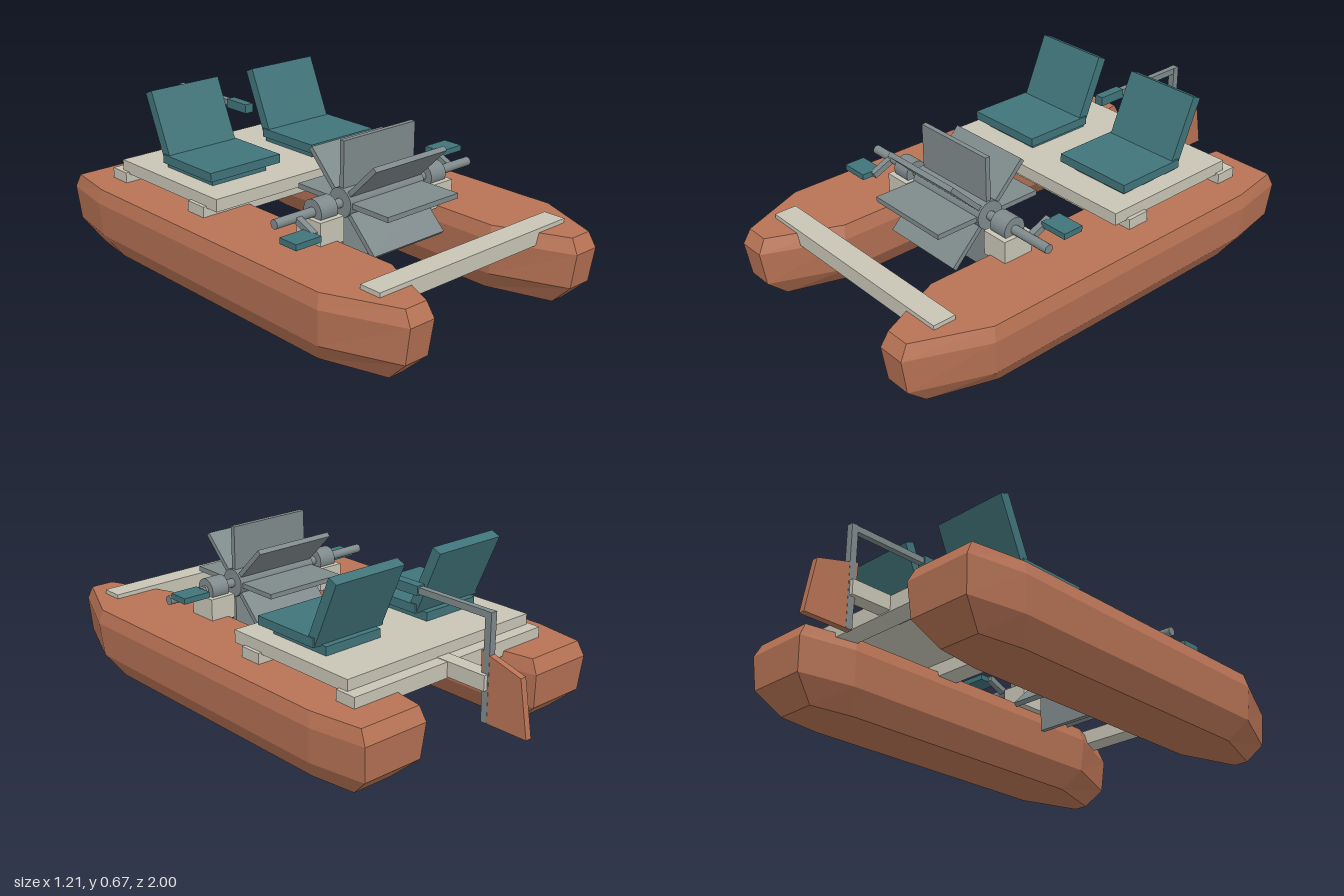
import * as THREE from 'three';

const paint = (color) => new THREE.MeshStandardMaterial({ color, flatShading: true });
const smooth = (color) => new THREE.MeshStandardMaterial({ color });

export function createModel() {
  const root = new THREE.Group();
  const clay = paint(0xb87355), cream = paint(0xc8c5b6), teal = paint(0x40747a);
  const steel = paint(0x7f8a8c), roundSteel = smooth(0x7f8a8c);

  function add(name, geometry, material, x = 0, y = 0, z = 0, parent = root) {
    const mesh = new THREE.Mesh(geometry, material);
    mesh.name = name;
    mesh.position.set(x, y, z);
    parent.add(mesh);
    return mesh;
  }
  // Box from its minimum and maximum on each axis
  function block(name, material, x0, x1, y0, y1, z0, z1, parent = root) {
    return add(name, new THREE.BoxGeometry(x1 - x0, y1 - y0, z1 - z0), material,
      (x0 + x1) / 2, (y0 + y1) / 2, (z0 + z1) / 2, parent);
  }
  // Round bar lying along x
  function rod(name, radius, length, sides, x, y, z, parent = root) {
    const g = new THREE.CylinderGeometry(radius, radius, length, sides).rotateZ(Math.PI / 2);
    return add(name, g, roundSteel, x, y, z, parent);
  }

  // Pontoons
  const hull = pontoonGeometry();
  for (const s of [1, -1]) add(s > 0 ? 'leftPontoon' : 'rightPontoon', hull, clay, s * 0.425, 0, 0);

  // Cross beams, deck and stern strut
  block('frontCrossBeam', cream, -0.475, 0.475, 0.235, 0.297, 0.77, 0.86);
  block('middleCrossBeam', cream, -0.475, 0.475, 0.26, 0.322, -0.15, -0.055);
  block('rearCrossBeam', cream, -0.475, 0.475, 0.26, 0.322, -0.65, -0.56);
  block('deck', cream, -0.46, 0.46, 0.315, 0.365, -0.6, 0.005);
  block('sternStrut', cream, -0.03, 0.03, 0.265, 0.324, -0.82, -0.55);

  // Seats
  for (const s of [1, -1]) {
    const seat = new THREE.Group();
    seat.name = s > 0 ? 'leftSeat' : 'rightSeat';
    seat.position.x = s * 0.25;
    root.add(seat);
    block('seatBase', teal, -0.13, 0.13, 0.364, 0.4, -0.405, -0.12, seat);
    block('seatCushion', teal, -0.168, 0.168, 0.398, 0.433, -0.38, -0.08, seat);
    const back = add('seatBack', new THREE.BoxGeometry(0.322, 0.28, 0.042), teal, 0, 0.533, -0.415, seat);
    back.rotation.x = -0.41;
  }

  // Paddle wheel
  const wheel = new THREE.Group();
  wheel.name = 'paddleWheel';
  wheel.position.set(0, 0.387, 0.37);
  root.add(wheel);
  rod('axle', 0.018, 0.99, 16, 0, 0, 0, wheel);
  rod('hub', 0.057, 0.376, 16, 0, 0, 0, wheel);
  for (let i = 0; i < 8; i++) {
    const g = new THREE.BoxGeometry(0.36, 0.19, 0.02).translate(0, 0.137, 0);
    add('paddleBlade', g, steel, 0, 0, 0, wheel).rotation.x = (i * Math.PI) / 4;
  }

  // Bearings, cranks and pedals
  for (const s of [1, -1]) {
    rod('bearing', 0.047, 0.078, 20, s * 0.28, 0.387, 0.37);
    const mount = block('bearingMount', cream, -0.056, 0.056, 0.27, 0.367, 0.308, 0.433);
    mount.position.x = s * 0.282;
    const crank = new THREE.Group();
    crank.name = s > 0 ? 'leftCrank' : 'rightCrank';
    crank.position.set(s * 0.396, 0.387, 0.37);
    root.add(crank);
    const arm = new THREE.BoxGeometry(0.025, 0.025, 0.115).translate(0, 0, 0.045);
    const armMesh = add('crankArm', arm, steel, 0, 0, 0, crank);
    armMesh.rotation.x = s > 0 ? Math.PI + 0.4 : 0.4;
    add('pedal', new THREE.BoxGeometry(0.115, 0.023, 0.085), teal, s * 0.063, s * 0.037, -s * 0.1 + s * 0.005, crank);
  }

  // Rudder, post and tiller
  const outline = new THREE.Shape([[0.787, 0.405], [0.963, 0.355], [1, 0.14], [0.8, 0.14]]
    .map(([back, y]) => new THREE.Vector2(back, y)));
  const blade = new THREE.ExtrudeGeometry(outline, { depth: 0.026, bevelEnabled: false })
    .translate(0, 0, -0.013).rotateY(Math.PI / 2);
  add('rudderBlade', blade, clay);
  block('rudderPost', steel, -0.014, 0.014, 0.14, 0.55, -0.825, -0.798);
  block('tiller', steel, -0.012, 0.012, 0.525, 0.55, -0.825, -0.45);
  block('tillerGrip', teal, -0.019, 0.019, 0.519, 0.556, -0.485, -0.365);

  return root;
}

// Faceted hull lofted through four level outlines, bottom to top
function pontoonGeometry() {
  // y, half widths (bow, middle, stern), z (bow, front shoulder, rear shoulder, stern)
  const levels = [
    [0, 0.03, 0.112, 0.085, 0.89, 0.64, -0.51, -0.69],
    [0.088, 0.052, 0.168, 0.128, 0.98, 0.7, -0.56, -0.785],
    [0.225, 0.055, 0.18, 0.14, 1, 0.71, -0.57, -0.797],
    [0.28, 0.048, 0.166, 0.132, 0.97, 0.7, -0.56, -0.77],
  ];
  const pos = [], index = [], n = 8;
  for (const [y, bow, mid, stern, z0, z1, z2, z3] of levels) {
    const side = [[bow, z0], [mid, z1], [mid, z2], [stern, z3]];
    for (const [x, z] of side) pos.push(x, y, z);
    for (const [x, z] of side.reverse()) pos.push(-x, y, z);
  }
  for (let l = 0; l < levels.length - 1; l++) {
    for (let i = 0; i < n; i++) {
      const a = l * n + i, b = l * n + ((i + 1) % n);
      index.push(a, b, b + n, a, b + n, a + n);
    }
  }
  const top = (levels.length - 1) * n;
  for (let i = 1; i < n - 1; i++) {
    index.push(0, i + 1, i);
    index.push(top, top + i, top + i + 1);
  }
  const g = new THREE.BufferGeometry();
  g.setAttribute('position', new THREE.Float32BufferAttribute(pos, 3));
  g.setIndex(index);
  const flat = g.toNonIndexed();
  flat.computeVertexNormals();
  return flat;
}
